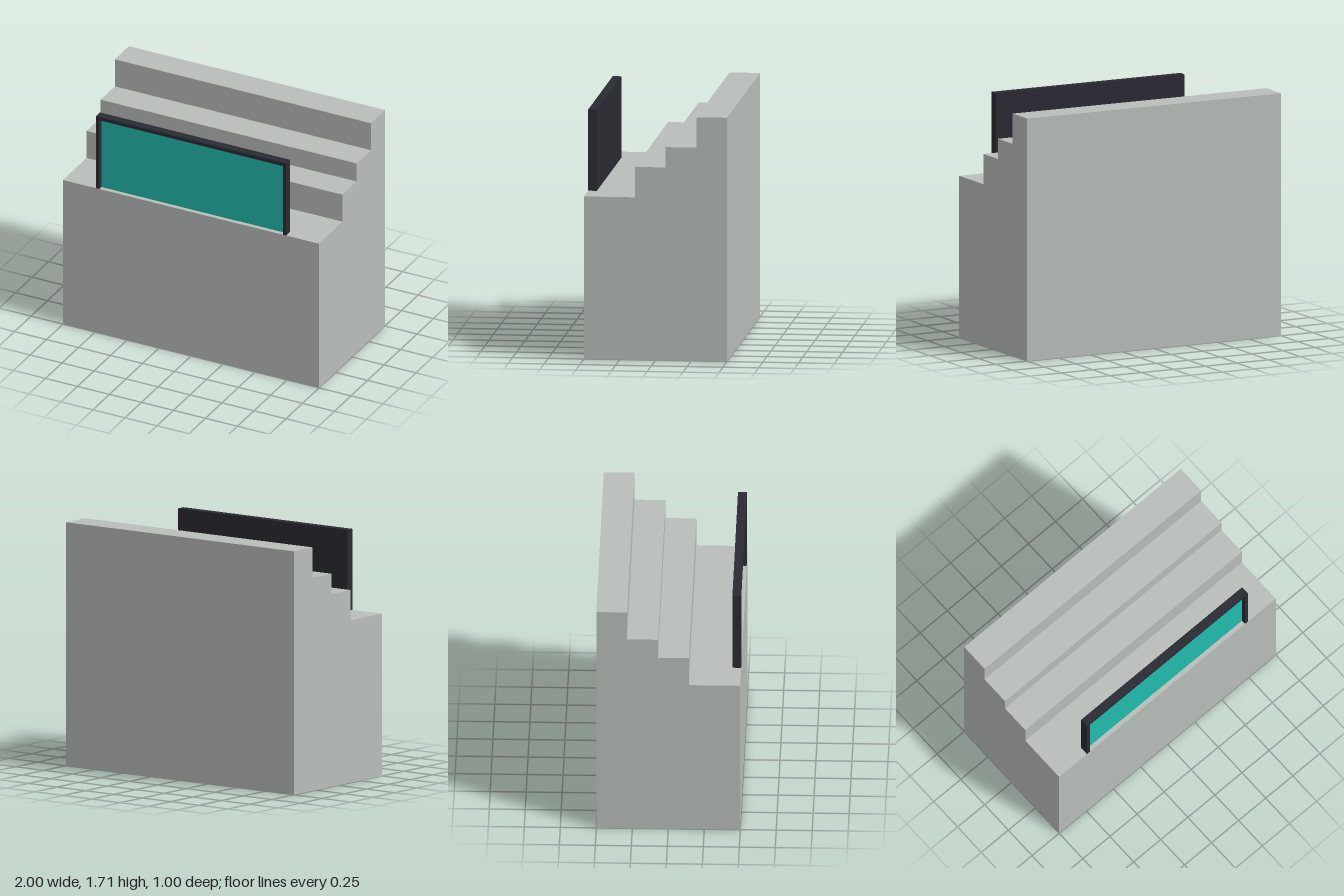
import * as THREE from 'three';

const mat = (name, color) => {
  const m = new THREE.MeshStandardMaterial({ color });
  m.name = name;
  return m;
};

export function createModel() {
  const model = new THREE.Group();
  const stone = mat('pale grey', 0xb9beba);
  const dark = mat('charcoal', 0x2b2a33);
  const teal = mat('teal', 0x22bbae);

  // Box given by its minimum and maximum corners
  const box = (name, material, [x0, y0, z0], [x1, y1, z1], parent) => {
    const mesh = new THREE.Mesh(new THREE.BoxGeometry(x1 - x0, y1 - y0, z1 - z0), material);
    mesh.position.set((x0 + x1) / 2, (y0 + y1) / 2, (z0 + z1) / 2);
    mesh.name = name;
    parent.add(mesh);
  };

  const top = 1.714, deck = 1.143;

  // Stepped body: side profile (z, y) extruded along x
  const profile = [
    [0.5, 0], [0.5, deck], [0.143, deck], [0.143, 1.357], [-0.071, 1.357],
    [-0.071, 1.5], [-0.286, 1.5], [-0.286, top], [-0.5, top], [-0.5, 0],
  ];
  const shape = new THREE.Shape(profile.map(([z, y]) => new THREE.Vector2(-z, y)));
  const bodyGeo = new THREE.ExtrudeGeometry(shape, { depth: 2, bevelEnabled: false });
  bodyGeo.translate(0, 0, -1).rotateY(Math.PI / 2);
  const body = new THREE.Mesh(bodyGeo, stone);
  body.name = 'steppedBody';
  model.add(body);

  // Screen standing along the front edge
  const screen = new THREE.Group();
  screen.name = 'screen';
  model.add(screen);
  const w = 0.743, rim = 0.026, back = 0.439, face = 0.468, front = 0.5;
  box('screenBack', dark, [-w, deck, back], [w, top, face - 0.003], screen);
  box('screenPanel', teal, [-w + rim, deck, face - 0.003], [w - rim, top - rim, face], screen);
  box('frameTop', dark, [-w, top - rim, face - 0.003], [w, top, front], screen);
  for (const [name, x] of [['frameLeft', w - rim], ['frameRight', -w]]) {
    box(name, dark, [x, deck, face - 0.003], [x + rim, top - rim, front], screen);
  }

  return model;
}
